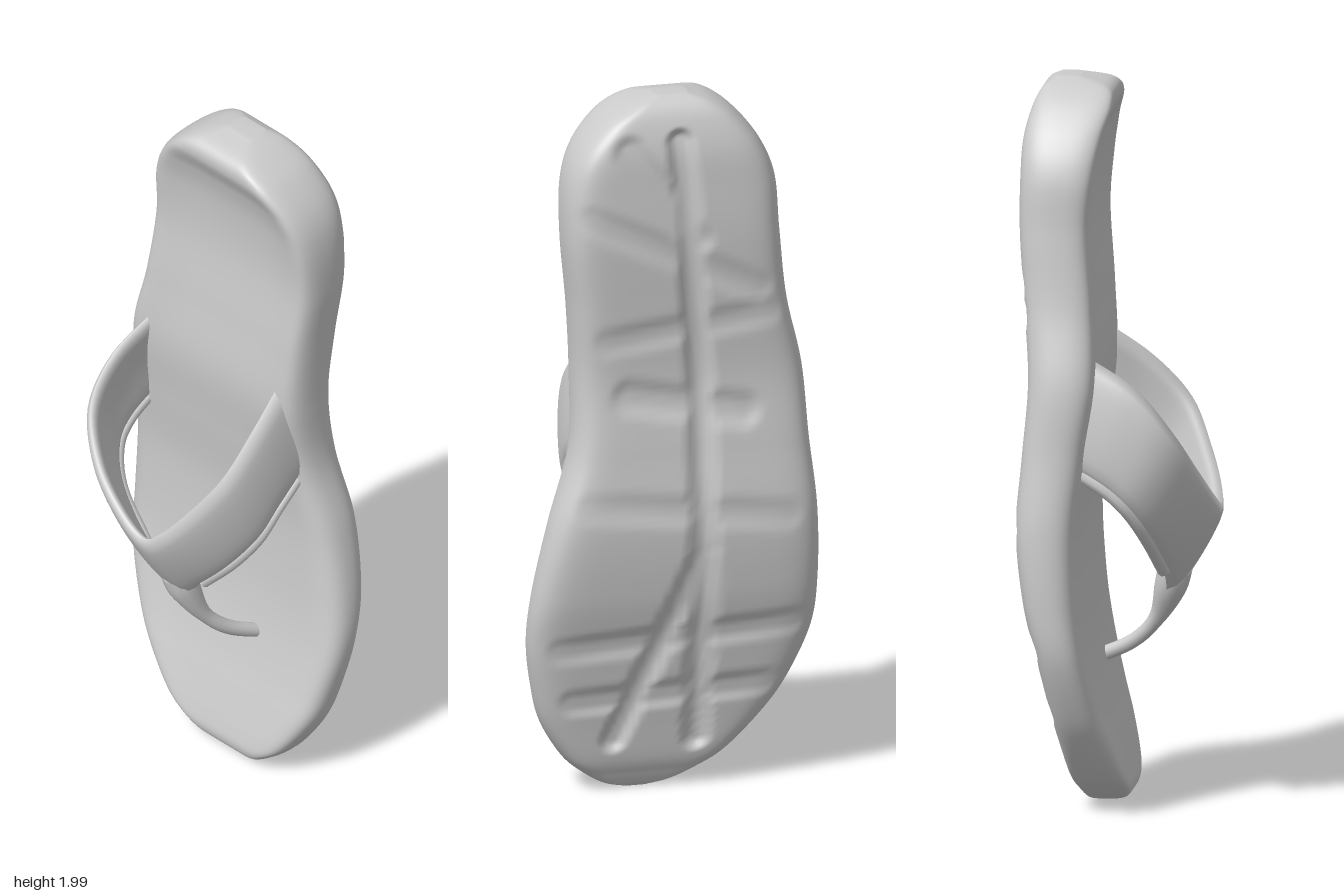
import * as THREE from 'three';

const material = new THREE.MeshStandardMaterial({ color: 0xcccccc, side: THREE.DoubleSide });
const spline = pts => new THREE.CatmullRomCurve3(pts.map(p => new THREE.Vector3(...p)), false, 'catmullrom', 0.5);

// Skin closed rings of equal length and cap both ends.
function loft(name, rings) {
  const n = rings[0].length, pos = [], index = [];
  rings.forEach(r => r.forEach(p => pos.push(p.x, p.y, p.z)));
  for (let i = 0; i < rings.length - 1; i++) {
    for (let j = 0; j < n; j++) {
      const a = i * n + j, b = i * n + (j + 1) % n;
      index.push(a, b, b + n, a, b + n, a + n);
    }
  }
  [0, rings.length - 1].forEach((r, end) => {
    const c = new THREE.Vector3();
    rings[r].forEach(p => c.addScaledVector(p, 1 / n));
    const k = pos.length / 3;
    pos.push(c.x, c.y, c.z);
    for (let j = 0; j < n; j++) {
      const a = r * n + j, b = r * n + (j + 1) % n;
      if (end) index.push(k, a, b); else index.push(k, b, a);
    }
  });
  const g = new THREE.BufferGeometry();
  g.setAttribute('position', new THREE.Float32BufferAttribute(pos, 3));
  g.setIndex(index);
  g.computeVertexNormals();
  const mesh = new THREE.Mesh(g, material);
  mesh.name = name;
  return mesh;
}

// Sole stations from toe to heel: y, right edge, left edge, back z, front z, dish depth.
const STATIONS = [
  [0.005, 0.05, 0.12, -0.09, -0.05, 0], [0.02, -0.02, 0.18, -0.105, 0.0, 0],
  [0.05, -0.09, 0.23, -0.12, 0.018, 0], [0.1, -0.17, 0.285, -0.14, 0.022, 0.012],
  [0.2, -0.265, 0.345, -0.16, 0.002, 0.02], [0.3, -0.33, 0.375, -0.18, -0.026, 0.02],
  [0.45, -0.388, 0.398, -0.21, -0.062, 0.015], [0.6, -0.4, 0.388, -0.245, -0.082, 0.01],
  [0.8, -0.395, 0.345, -0.265, -0.086, 0.01], [1.0, -0.375, 0.285, -0.25, -0.065, 0.01],
  [1.2, -0.36, 0.275, -0.235, -0.03, 0.025], [1.4, -0.315, 0.285, -0.25, -0.03, 0.04],
  [1.6, -0.292, 0.305, -0.265, -0.042, 0.045], [1.75, -0.28, 0.302, -0.265, -0.025, 0.055],
  [1.85, -0.24, 0.27, -0.26, -0.013, 0.045], [1.93, -0.175, 0.2, -0.24, -0.014, 0.01],
  [1.975, -0.11, 0.12, -0.215, -0.04, 0], [1.998, -0.04, 0.05, -0.18, -0.12, 0],
];

// Tread grooves on the underside: x1, y1, x2, y2, half width, depth.
const GROOVES = [
  [0.0, 1.88, -0.06, 1.2, 0.045, 0.022], [-0.06, 1.2, -0.07, 0.15, 0.045, 0.022], [-0.07, 0.72, 0.16, 0.16, 0.045, 0.02],
  [0.14, 1.86, -0.04, 1.6, 0.06, 0.015], [0.25, 1.68, -0.22, 1.45, 0.05, 0.008], [0.2, 1.32, -0.25, 1.38, 0.05, 0.008],
  [0.14, 1.16, -0.18, 1.1, 0.06, 0.012], [0.25, 0.86, -0.3, 0.8, 0.05, 0.008], [0.32, 0.44, -0.32, 0.48, 0.05, 0.01],
  [0.28, 0.28, -0.25, 0.3, 0.05, 0.01],
];
function grooveDepth(x, y) {
  let deepest = 0;
  for (const [x1, y1, x2, y2, width, depth] of GROOVES) {
    const dx = x2 - x1, dy = y2 - y1;
    const t = THREE.MathUtils.clamp(((x - x1) * dx + (y - y1) * dy) / (dx * dx + dy * dy), 0, 1);
    const dist = Math.hypot(x - x1 - t * dx, y - y1 - t * dy);
    deepest = Math.max(deepest, depth * (1 - THREE.MathUtils.smoothstep(dist, width * 0.3, width)));
  }
  return deepest;
}

function makeSole() {
  const edge = spline(STATIONS.map(s => [s[0], s[1], s[2]]));
  const depth = spline(STATIONS.map(s => [s[3], s[4], s[5]]));
  const rings = [], N = 204, M = 64;
  for (let i = 0; i <= N; i++) {
    const { x: y, y: x0, z: x1 } = edge.getPoint(i / N);
    const { x: zb, y: zf, z: dish } = depth.getPoint(i / N);
    const ring = [];
    for (let j = 0; j < 2 * M; j++) {
      const front = j < M;
      const u = Math.sin(((front ? j : 2 * M - j) / M - 0.5) * Math.PI);
      const w = Math.pow(Math.max(0, 1 - u ** 10), 0.45);
      const x = (x0 + x1) / 2 + u * (x1 - x0) / 2, mid = (zb + zf) / 2, half = (zf - zb) / 2;
      const z = front ? mid + half * w - dish * (1 - u ** 4)
        : mid - half * w + grooveDepth(x, y) * (1 - u ** 4);
      ring.push(new THREE.Vector3(x, y, z));
    }
    rings.push(ring);
  }
  return loft('sole', rings);
}

// Edge curves of the strap band, from the model's right to its left
const UPPER = [[-0.265, 1.28, -0.09], [-0.29, 1.19, 0.06], [-0.28, 1.07, 0.16], [-0.195, 0.95, 0.22],
  [-0.08, 0.865, 0.25], [0.01, 0.83, 0.258], [0.07, 0.87, 0.25], [0.14, 0.96, 0.215], [0.21, 1.08, 0.155],
  [0.22, 1.19, 0.05], [0.2, 1.29, -0.09]];
const LOWER = [[-0.305, 0.97, -0.12], [-0.31, 0.91, -0.02], [-0.295, 0.85, 0.04], [-0.235, 0.765, 0.085],
  [-0.11, 0.66, 0.115], [0.02, 0.58, 0.11], [0.1, 0.65, 0.115], [0.18, 0.74, 0.085], [0.235, 0.83, 0.04],
  [0.25, 0.91, -0.02], [0.245, 0.98, -0.12]];

function makeBand() {
  const upper = spline(UPPER), lower = spline(LOWER);
  const rings = [], N = 60, M = 12;
  for (let i = 0; i <= N; i++) {
    const t = i / N, a = upper.getPoint(t), b = lower.getPoint(t);
    const along = upper.getTangent(t).add(lower.getTangent(t));
    const normal = b.clone().sub(a).cross(along).normalize();
    const ring = [];
    for (let j = 0; j < 2 * M; j++) {
      const outer = j < M, v = (outer ? j : 2 * M - j) / M, s = Math.abs(2 * v - 1);
      const bulge = 0.01 * (1 - s * s), thick = 0.017 * Math.sqrt(1 - s ** 6);
      ring.push(a.clone().lerp(b, v).addScaledVector(normal, bulge + (outer ? thick : -thick)));
    }
    rings.push(ring);
  }
  return loft('strapBand', rings);
}

// Toe post, wide where it leaves the band and thin where it enters the sole
function makeToePost() {
  const path = spline([[0.015, 0.66, 0.135], [0.03, 0.59, 0.115], [0.06, 0.5, 0.075], [0.09, 0.43, 0.005], [0.125, 0.375, -0.11]]);
  const N = 24, M = 12, frames = path.computeFrenetFrames(N), rings = [];
  for (let i = 0; i <= N; i++) {
    const t = i / N, r = 0.02 + 0.026 * (1 - THREE.MathUtils.smoothstep(t, 0.1, 0.5)), ring = [];
    for (let j = 0; j < M; j++) {
      const a = j / M * Math.PI * 2;
      ring.push(path.getPointAt(t).addScaledVector(frames.normals[i], r * Math.cos(a))
        .addScaledVector(frames.binormals[i], r * Math.sin(a)));
    }
    rings.push(ring);
  }
  return loft('toePost', rings);
}

export function createModel() {
  const group = new THREE.Group();
  group.name = 'sandal';
  group.add(makeSole(), makeBand(), makeToePost());

  // Rounded trim along the lower edge of each side of the band
  for (const pts of [LOWER.slice(0, 5), LOWER.slice(6)]) {
    const trim = new THREE.Mesh(new THREE.TubeGeometry(spline(pts), 24, 0.017, 8), material);
    trim.name = 'strapTrim';
    group.add(trim);
  }
  return group;
}
